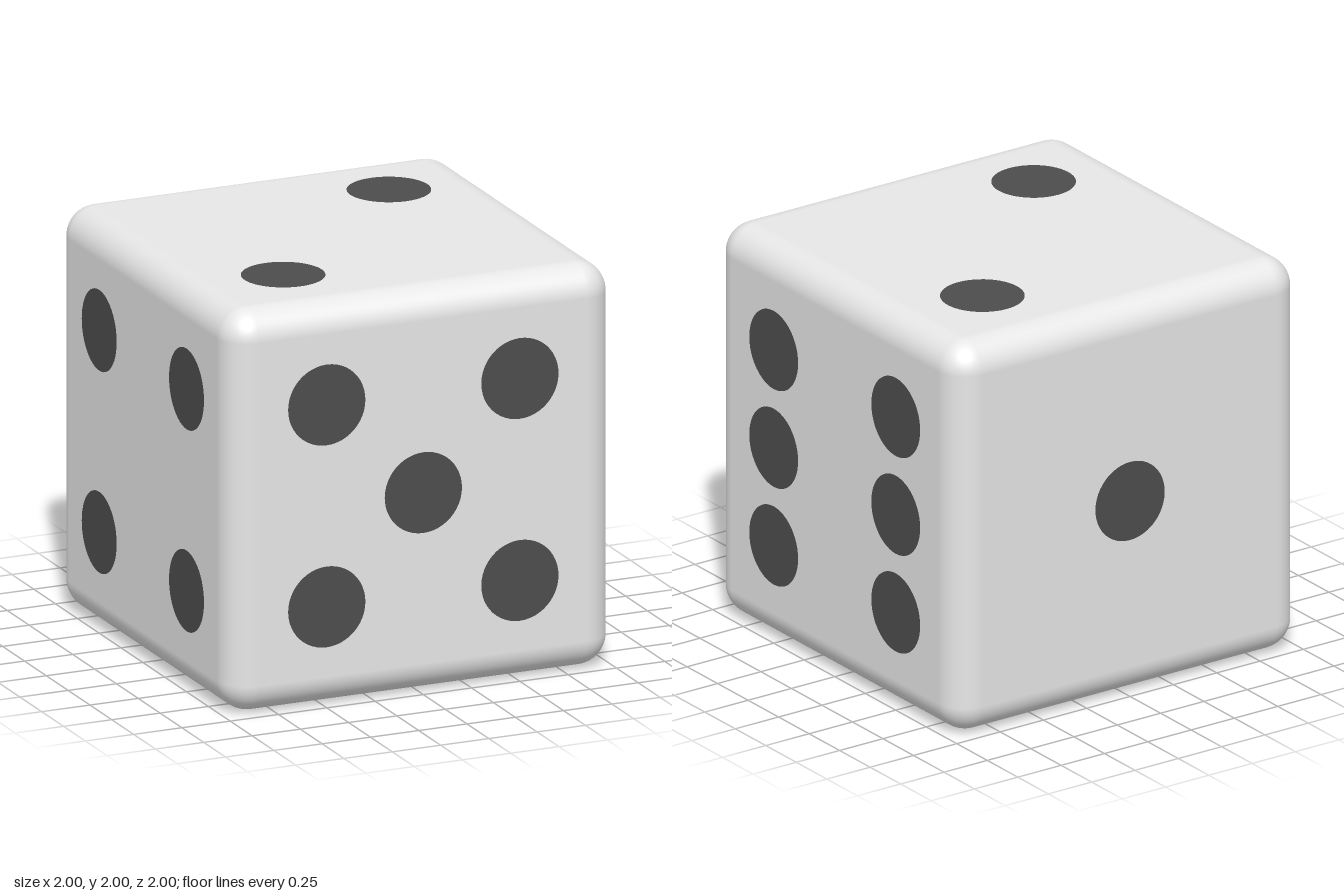
import * as THREE from 'three';
import { RoundedBoxGeometry } from 'three/addons/geometries/RoundedBoxGeometry.js';

const bodyMaterial = new THREE.MeshStandardMaterial({ color: 0xe7e7e7 });
bodyMaterial.name = 'light grey body';
const pipMaterial = new THREE.MeshStandardMaterial({ color: 0x4d4d4d });
pipMaterial.name = 'dark grey pip';

const HALF = 0.998;      // half the body, leaving room for the pip plates
const PIP_RADIUS = 0.2;
const PIP_LIFT = 0.002;
const S = 0.5;           // pip spacing from the face centre

// Each face: outward rotation of a +z-facing plate, and pip centres in its plane
const H = Math.PI / 2;
const faces = [
  { name: 'frontPips', rotation: [0, 0, 0], pips: [[-S, S], [S, S], [0, 0], [-S, -S], [S, -S]] },
  { name: 'backPips', rotation: [0, Math.PI, 0], pips: [[0, 0]] },
  { name: 'rightSidePips', rotation: [0, H, 0], pips: [[-S, S], [-S, 0], [-S, -S], [S, S], [S, 0], [S, -S]] },
  { name: 'leftSidePips', rotation: [0, -H, 0], pips: [[-S, S], [S, S], [-S, -S], [S, -S]] },
  { name: 'topPips', rotation: [-H, 0, 0], pips: [[S, S], [-S, -S]] },
  { name: 'bottomPips', rotation: [H, 0, 0], pips: [[S, S], [0, 0], [-S, -S]] },
];

export function createModel() {
  const model = new THREE.Group();
  model.name = 'die';

  // Rounded cube
  const body = new THREE.Mesh(
    new RoundedBoxGeometry(2 * HALF, 2 * HALF, 2 * HALF, 8, 0.15), bodyMaterial);
  body.name = 'body';
  body.position.y = 1;
  model.add(body);

  // Round pips laid just above each face
  const pipGeometry = new THREE.CircleGeometry(PIP_RADIUS, 48);
  for (const { name, rotation, pips } of faces) {
    const face = new THREE.Group();
    face.name = name;
    face.position.y = 1;
    face.rotation.set(...rotation);
    for (const [u, v] of pips) {
      const pip = new THREE.Mesh(pipGeometry, pipMaterial);
      pip.name = 'pip';
      pip.position.set(u, v, HALF + PIP_LIFT);
      face.add(pip);
    }
    model.add(face);
  }
  return model;
}
